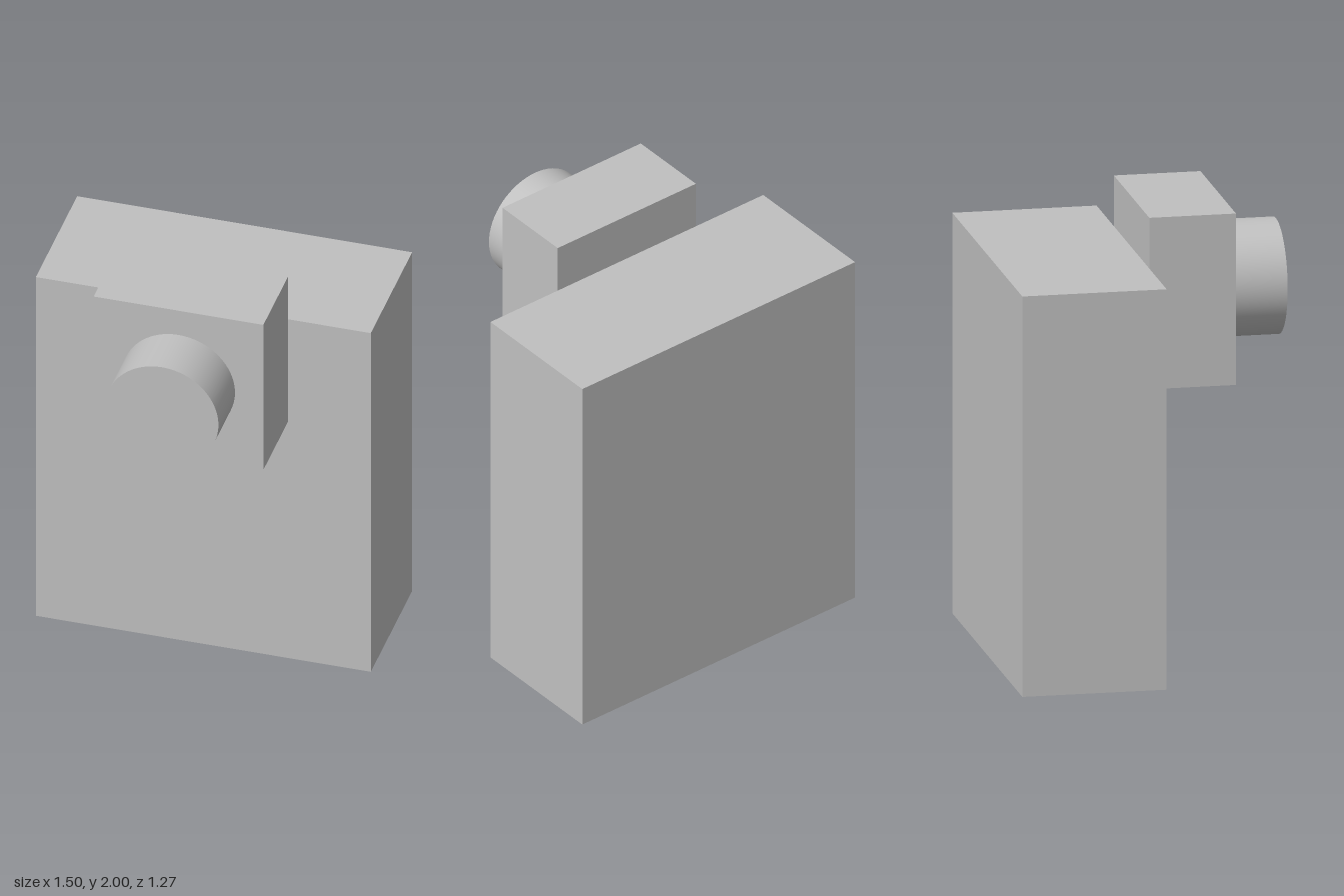
import * as THREE from 'three';

export function createModel() {
  const model = new THREE.Group();
  const grey = new THREE.MeshStandardMaterial({ color: 0xc0c0c0 });
  grey.name = 'light grey';

  const add = (name, geometry, x, y, z) => {
    const mesh = new THREE.Mesh(geometry, grey);
    mesh.name = name;
    mesh.position.set(x, y, z);
    model.add(mesh);
  };

  // Main slab standing on the ground
  add('body', new THREE.BoxGeometry(1.5, 1.775, 0.633), 0, 0.8875, -0.3165);

  // Square block on the front, rising above the slab
  add('mountBlock', new THREE.BoxGeometry(0.76, 0.76, 0.38), 0, 1.62, 0.19);

  // Round knob pointing forward
  const knob = new THREE.CylinderGeometry(0.253, 0.253, 0.253, 64).rotateX(Math.PI / 2);
  add('knob', knob, 0, 1.62, 0.5065);

  return model;
}
